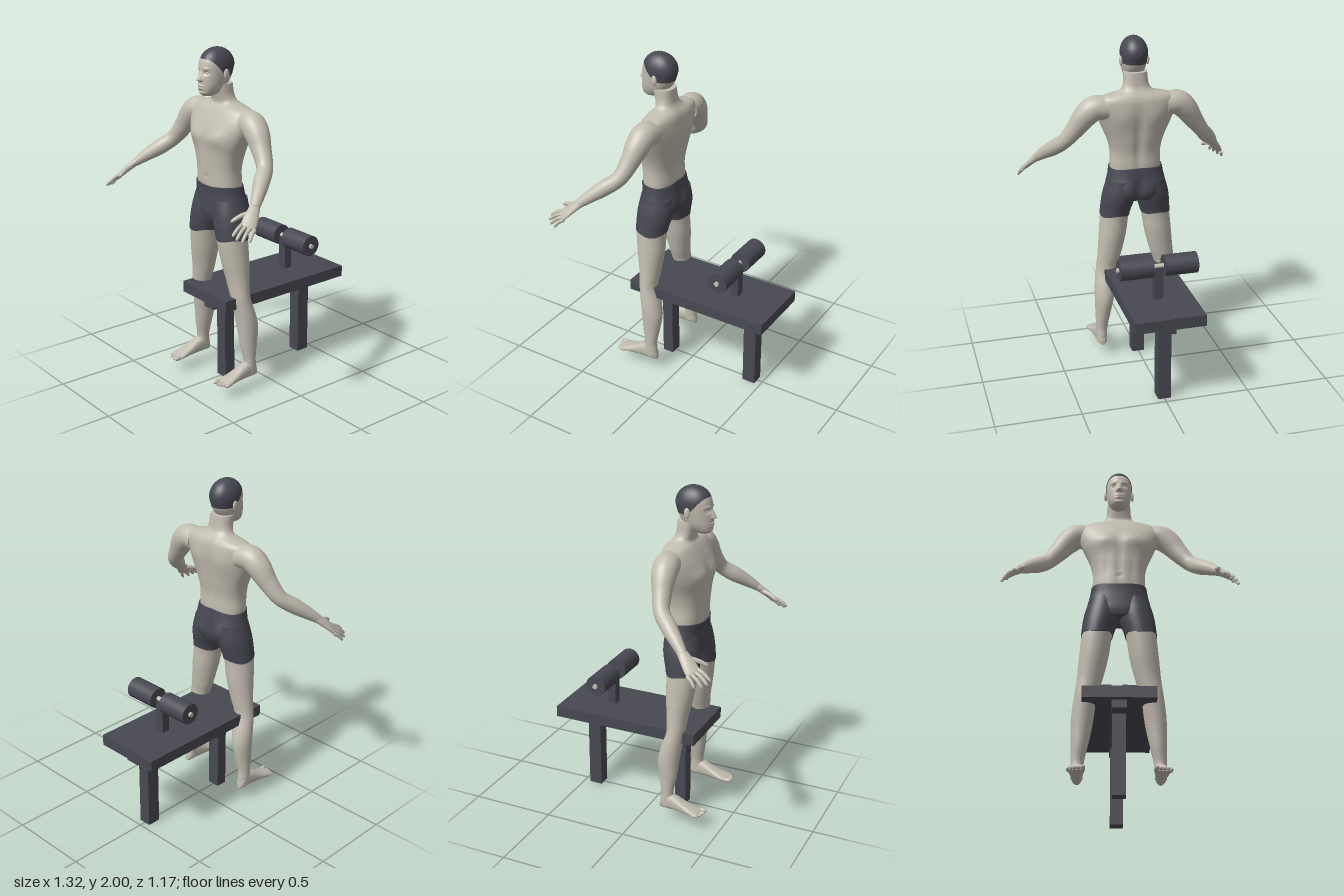
import * as THREE from 'three';

const mat = (name, color) => {
  const m = new THREE.MeshStandardMaterial({ color });
  m.name = name;
  return m;
};
const skinMat = mat('pale skin', 0xc2bdb0);
const darkMat = mat('charcoal', 0x484852);
const metalMat = mat('light metal', 0xc6c2b4);

const { smoothstep, lerp } = THREE.MathUtils;
const bump = (x, y, cx, cy, sx, sy) => Math.exp(-(((x - cx) / sx) ** 2) - ((y - cy) / sy) ** 2);
const spow = (v, p) => Math.sign(v) * Math.abs(v) ** p;

// Smooth interpolation through rows [key, a, b, ...]
function profile(rows) {
  const slope = (i, k) => {
    const a = rows[Math.max(i - 1, 0)], b = rows[Math.min(i + 1, rows.length - 1)];
    return (b[k] - a[k]) / (b[0] - a[0]);
  };
  return (y) => {
    let i = 0;
    while (i < rows.length - 2 && y > rows[i + 1][0]) i++;
    const p = rows[i], q = rows[i + 1], h = q[0] - p[0];
    const t = Math.min(1, Math.max(0, (y - p[0]) / h)), t2 = t * t, t3 = t2 * t;
    return p.slice(1).map((_, j) => {
      const k = j + 1;
      return (2 * t3 - 3 * t2 + 1) * p[k] + (t3 - 2 * t2 + t) * h * slope(i, k)
        + (3 * t2 - 2 * t3) * q[k] + (t3 - t2) * h * slope(i + 1, k);
    });
  };
}

// Closed surface from fn(angle, t), mirrored in x when side is -1, with end caps
function skin(name, material, fn, nu, nv, side = 1) {
  const pos = [], idx = [];
  const tri = (a, b, c) => (side > 0 ? idx.push(a, b, c) : idx.push(a, c, b));
  const ring = (t) => {
    const pts = [];
    for (let i = 0; i < nu; i++) {
      const p = fn((i / nu) * Math.PI * 2, t);
      pts.push([p[0] * side, p[1], p[2]]);
    }
    return pts;
  };
  for (let j = 0; j <= nv; j++) ring(j / nv).forEach((p) => pos.push(...p));
  for (let j = 0; j < nv; j++) for (let i = 0; i < nu; i++) {
    const a = j * nu + i, b = j * nu + ((i + 1) % nu);
    tri(a, a + nu, b);
    tri(b, a + nu, b + nu);
  }
  for (const end of [0, 1]) {
    const pts = ring(end), start = pos.length / 3;
    const mid = [0, 1, 2].map((k) => pts.reduce((s, p) => s + p[k], 0) / nu);
    pts.forEach((p) => pos.push(...p));
    pos.push(...mid);
    for (let i = 0; i < nu; i++) {
      const a = start + i, b = start + ((i + 1) % nu);
      end ? tri(a, start + nu, b) : tri(b, start + nu, a);
    }
  }
  const g = new THREE.BufferGeometry();
  g.setAttribute('position', new THREE.Float32BufferAttribute(pos, 3));
  g.setIndex(idx);
  g.computeVertexNormals();
  const m = new THREE.Mesh(g, material);
  m.name = name;
  return m;
}

// Limb swept along rows [x, y, z, wide radius, thin radius]
function limb(name, rows, wide, side, round, nu = 24, nv = 40) {
  const path = new THREE.CatmullRomCurve3(rows.map((r) => new THREE.Vector3(r[0], r[1], r[2])));
  const radii = profile(rows.map((r, i) => [i / (rows.length - 1), r[3], r[4]]));
  return skin(name, skinMat, (a, t) => {
    const T = path.getTangent(t), P = path.getPoint(t), [rw, rt] = radii(t);
    const W = new THREE.Vector3(...wide).addScaledVector(T, -T.dot(new THREE.Vector3(...wide))).normalize();
    const N = W.clone().cross(T);
    const k = round && t > 0.8 ? Math.sqrt(Math.max(0, 1 - ((t - 0.8) / 0.2) ** 2)) : 1;
    return P.addScaledVector(W, rw * k * Math.cos(a)).addScaledVector(N, rt * k * Math.sin(a)).toArray();
  }, nu, nv, side);
}

// Horizontal section [half width, front z, back z] at an angle
const section = ([h, zf, zb], a, p = 1) =>
  [h * spow(Math.cos(a), p), (zf + zb) / 2 + ((zf - zb) / 2) * spow(Math.sin(a), p)];

const torsoRows = profile([
  [1.19, .15, .285, .11], [1.23, .153, .293, .103], [1.32, .152, .298, .102], [1.4, .17, .303, .09],
  [1.5, .212, .306, .078], [1.58, .238, .285, .07], [1.64, .235, .255, .072], [1.67, .2, .235, .083],
  [1.69, .11, .22, .098], [1.72, .078, .225, .115], [1.8, .068, .25, .125]]);
const pelvisRows = profile([
  [1.0, .15, .28, .11], [1.06, .18, .297, .085], [1.12, .182, .297, .085],
  [1.18, .168, .296, .09], [1.23, .16, .3, .097]]);
const headRows = profile([
  [1.738, .028, .308, .24], [1.755, .045, .325, .2], [1.79, .062, .327, .16], [1.83, .071, .325, .13],
  [1.87, .076, .322, .115], [1.9, .079, .318, .108], [2.0, .079, .318, .108]]);
const legRows = profile([
  [.1, .228, .033, .205, .12], [.14, .228, .034, .205, .12], [.19, .226, .036, .2, .125],
  [.28, .217, .046, .215, .11], [.38, .208, .058, .225, .097], [.46, .2, .063, .235, .11],
  [.57, .186, .063, .25, .142], [.66, .165, .072, .26, .135], [.8, .142, .083, .285, .12],
  [.93, .125, .087, .3, .115], [1.05, .1, .098, .3, .088], [1.15, .085, .085, .285, .09]]);
const footRows = profile([
  [.117, .228, .012, .11], [.13, .228, .027, .15], [.17, .228, .034, .18], [.22, .228, .037, .165],
  [.28, .229, .042, .135], [.33, .23, .049, .115], [.372, .231, .048, .1]]);

// Torso and neck with chest, abdomen and back relief
function torsoPoint(a, t) {
  const y = lerp(1.19, 1.8, t), s = Math.sin(a);
  let [x, z] = section(torsoRows(y), a, 0.85);
  const ax = Math.abs(x);
  if (s > 0) z += s * (.016 * bump(ax, y, .09, 1.51, .075, .05) - .007 * bump(x, y, 0, 1.38, .013, .16)
    - .005 * bump(ax, y, .075, 1.32, .014, .09) - .006 * bump(x, y, 0, 1.275, .014, .012));
  else z -= s * (.015 * bump(x, y, 0, 1.4, .022, .2) - .01 * bump(ax, y, .1, 1.54, .06, .07));
  return [x, y, z];
}

// Seat of the shorts
function pelvisPoint(a, t) {
  const y = lerp(1.03, 1.225 + .004 * Math.sin(3 * a), t), s = Math.sin(a);
  let [x, z] = section(pelvisRows(y), a, 0.85);
  if (s < 0) z += s * (.018 * bump(Math.abs(x), y, .08, 1.1, .06, .06) - .015 * bump(x, y, 0, 1.1, .015, .08));
  return [x, y, z];
}

// Head with brow, sockets, nose and lips
function headPoint(a, y) {
  const dome = y > 1.9 ? Math.sqrt(Math.max(0, 1 - ((y - 1.9) / .1) ** 2)) : 1;
  const [h, zf, zb] = headRows(y), s = Math.sin(a);
  const c = (zf + zb) / 2, d = ((zf - zb) / 2) * dome;
  let [x, z] = section([h * dome, c + d, c - d], a, 0.92);
  if (s > 0) {
    const ax = Math.abs(x), n = (1.885 - y) / .055;
    const nose = n < 0 ? 0 : n < 1 ? n : Math.exp(-(((1.83 - y) / .008) ** 2));
    z += .026 * nose * Math.exp(-((x / (.009 + .007 * Math.min(1, Math.max(0, n)))) ** 2))
      + .005 * bump(ax, y, .03, 1.892, .025, .008) - .012 * bump(ax, y, .032, 1.868, .016, .011)
      + .007 * bump(x, y, 0, 1.797, .022, .005) + .007 * bump(x, y, 0, 1.783, .02, .005)
      - .005 * bump(x, y, 0, 1.768, .025, .006);
  }
  return [x, y, z];
}
const capEdge = (a) => 1.845 + .098 * smoothstep(Math.sin(a), -.4, 1);

function legPoint(a, y, grow = 0) {
  const [c, h, zf, zb] = legRows(y);
  const [x, z] = section([h + grow, zf + grow, zb - grow], a);
  const knee = Math.sin(a) > 0 ? .008 * bump(x, y, c, .585, .03, .035) : 0;
  return [c + x, y, z + knee];
}

function ball(name, x, y, z, sx, sy, sz) {
  const m = new THREE.Mesh(new THREE.SphereGeometry(1, 16, 12), skinMat);
  m.name = name;
  m.position.set(x, y, z);
  m.scale.set(sx, sy, sz);
  return m;
}

function createFigure() {
  const g = new THREE.Group();
  g.name = 'figure';
  g.add(skin('torso', skinMat, torsoPoint, 72, 90));
  g.add(skin('shortsSeat', darkMat, pelvisPoint, 64, 24));
  g.add(skin('head', skinMat, (a, t) => headPoint(a, lerp(1.738, capEdge(a), t)), 96, 64));
  g.add(skin('cap', darkMat, (a, t) => headPoint(a, lerp(capEdge(a), 2, Math.sin(t * Math.PI / 2))), 96, 20));

  for (const s of [1, -1]) {
    g.add(ball('ear', s * .08, 1.858, .205, .009, .03, .018));
    g.add(ball('eye', s * .031, 1.868, .298, .012, .008, .01));
    // Legs and shorts
    g.add(skin('leg', skinMat, (a, t) => legPoint(a, lerp(.1, .96, t)), 36, 60, s));
    g.add(skin('shortsLeg', darkMat, (a, t) =>
      legPoint(a, lerp(.925 + .007 * Math.sin(3 * a), 1.15, t), .004), 40, 20, s));
    // Foot and toes
    g.add(skin('foot', skinMat, (a, t) => {
      const z = lerp(.117, .372, t), [c, h, top] = footRows(z);
      return [c + h * spow(Math.cos(a), .8), (top + .078) / 2 - ((top - .078) / 2) * spow(Math.sin(a), .8), z];
    }, 28, 30, s));
    for (let i = 0; i < 5; i++) {
      const r = i ? .0095 : .0135;
      g.add(ball('toe', s * (.194 + i * .0185 + (i ? .004 : 0)), .079 + r, .377 - i * i * .0015, r, r, .026));
    }
    // Arm and hand
    g.add(limb('arm', [
      [.17, 1.6, .155, .07, .07], [.25, 1.6, .163, .073, .073], [.3, 1.56, .17, .069, .07],
      [.355, 1.485, .185, .055, .057], [.42, 1.4, .215, .045, .045], [.47, 1.345, .28, .045, .046],
      [.52, 1.295, .345, .036, .036], [.56, 1.25, .4, .026, .024]], [0, 0, 1], s, false, 32, 60));
    const across = [-.8, .45, .4];
    g.add(limb('palm', [
      [.55, 1.262, .385, .027, .023], [.583, 1.215, .44, .038, .019],
      [.602, 1.182, .474, .042, .015], [.611, 1.168, .492, .036, .009]], across, s, true));
    const fingers = [
      [[.578, 1.192, .485], [.595, 1.14, .578]], [[.597, 1.18, .485], [.62, 1.125, .572]],
      [[.615, 1.17, .475], [.64, 1.113, .55]], [[.63, 1.163, .458], [.655, 1.11, .512]],
      [[.562, 1.232, .42], [.527, 1.193, .537]]];
    fingers.forEach(([b, e], i) => {
      const mid = b.map((v, k) => (v + e[k]) / 2 + (k === 1 ? .008 : 0));
      const r = i === 4 ? .013 : .0105;
      g.add(limb(i === 4 ? 'thumb' : 'finger',
        [[...b, r * 1.15, r * 1.15], [...mid, r, r], [...e, r * .8, r * .75]], across, s, true, 12, 16));
    });
  }
  return g;
}

function createBench() {
  const g = new THREE.Group();
  g.name = 'bench';
  const box = (name, w, y0, y1, z0, z1) => {
    const m = new THREE.Mesh(new THREE.BoxGeometry(w, y1 - y0, z1 - z0), darkMat);
    m.name = name;
    m.position.set(0, (y0 + y1) / 2, (z0 + z1) / 2);
    g.add(m);
  };
  box('benchTop', .414, .513, .58, -.588, .318);
  box('benchBeam', .084, .465, .513, -.548, .285);
  box('frontLeg', .076, 0, .465, .127, .196);
  box('backLeg', .076, 0, .465, -.463, -.382);
  box('rollerPost', .054, .58, .776, -.328, -.278);
  // Padded rollers on a metal rod
  const bar = (name, r, len, x, material) => {
    const m = new THREE.Mesh(new THREE.CylinderGeometry(r, r, len, 40), material);
    m.name = name;
    m.rotation.z = Math.PI / 2;
    m.position.set(x, .78, -.304);
    g.add(m);
  };
  bar('rollerRod', .014, .484, 0, metalMat);
  for (const s of [1, -1]) bar('rollerPad', .062, .195, s * .132, darkMat);
  return g;
}

export function createModel() {
  const model = new THREE.Group();
  model.name = 'athleteWithBench';
  model.add(createBench(), createFigure());
  return model;
}
